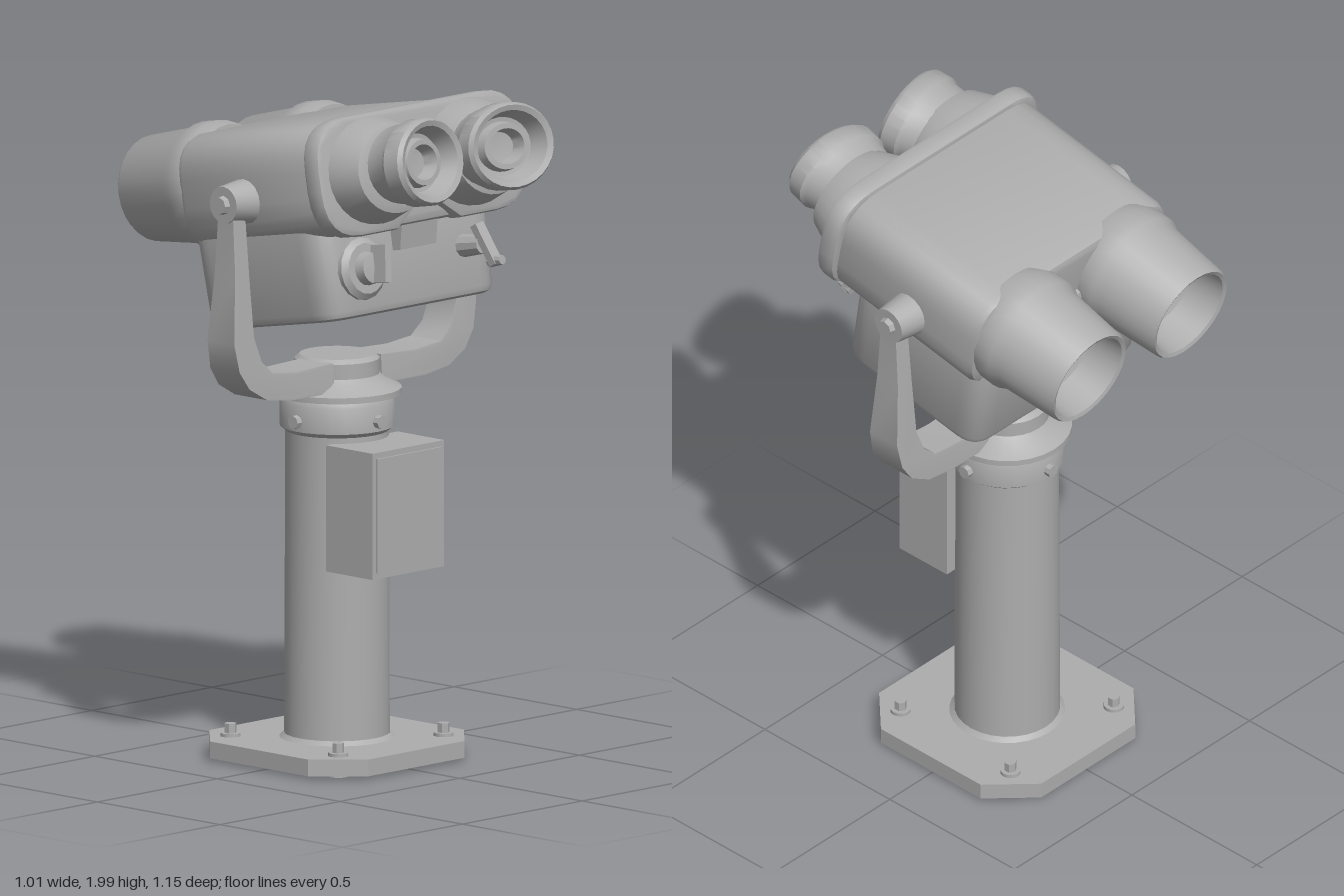
import * as THREE from 'three';
import { toCreasedNormals } from 'three/addons/utils/BufferGeometryUtils.js';

const greyMetal = new THREE.MeshStandardMaterial({ color: 0xadadad });
greyMetal.name = 'greyMetal';

// Adds a named mesh with sharp edges kept and curved faces smoothed
function add(parent, name, geometry, x = 0, y = 0, z = 0) {
  const mesh = new THREE.Mesh(toCreasedNormals(geometry, 0.6), greyMetal);
  mesh.name = name;
  mesh.position.set(x, y, z);
  parent.add(mesh);
  return mesh;
}

const vectors = (points) => points.map(([x, y]) => new THREE.Vector2(x, y));
const lathe = (points, sides = 28) => new THREE.LatheGeometry(vectors(points), sides);
const cylinder = (top, bottom, height, sides = 28) => new THREE.CylinderGeometry(top, bottom, height, sides);

function extrude(shape, depth, bevel = 0) {
  return new THREE.ExtrudeGeometry(shape, {
    depth: depth - 2 * bevel, bevelEnabled: bevel > 0, bevelThickness: bevel,
    bevelSize: bevel, bevelOffset: -bevel, bevelSegments: 2, curveSegments: 6,
  }).translate(0, 0, bevel);
}

// Rectangle with its own corner radius at the bottom and at the top
function roundedShape(halfWidth, y0, y1, rBottom, rTop, notch = 0) {
  const s = new THREE.Shape();
  s.moveTo(-halfWidth + rBottom, y0);
  if (notch) {
    s.lineTo(-0.13, y0);
    s.lineTo(0, y0 + notch);
    s.lineTo(0.13, y0);
  }
  s.lineTo(halfWidth - rBottom, y0);
  s.quadraticCurveTo(halfWidth, y0, halfWidth, y0 + rBottom);
  s.lineTo(halfWidth, y1 - rTop);
  s.quadraticCurveTo(halfWidth, y1, halfWidth - rTop, y1);
  s.lineTo(-halfWidth + rTop, y1);
  s.quadraticCurveTo(-halfWidth, y1, -halfWidth, y1 - rTop);
  s.lineTo(-halfWidth, y0 + rBottom);
  s.quadraticCurveTo(-halfWidth, y0, -halfWidth + rBottom, y0);
  return s;
}

function buildStand(model) {
  const stand = new THREE.Group();
  stand.name = 'stand';
  model.add(stand);

  // Square foot plate with cut corners and four bolts
  const w = 0.325, c = 0.2;
  const plate = new THREE.Shape(vectors([[-c, -w], [c, -w], [w, -c], [w, c], [c, w], [-c, w], [-w, c], [-w, -c]]));
  add(stand, 'basePlate', extrude(plate, 0.05).rotateX(-Math.PI / 2), 0, 0.01, 0);
  for (const x of [-0.22, 0.22]) for (const z of [-0.22, 0.22]) {
    add(stand, 'boltWasher', cylinder(0.03, 0.033, 0.07, 12), x, 0.035, z);
    add(stand, 'boltHead', cylinder(0.018, 0.018, 0.03, 6), x, 0.083, z);
  }

  // Pole, clamp collar and flared flange
  add(stand, 'pole', cylinder(0.152, 0.155, 0.94), 0, 0.52, 0);
  add(stand, 'poleFoot', cylinder(0.156, 0.172, 0.015), 0, 0.065, 0);
  add(stand, 'collar', lathe([[0, 0.97], [0.15, 0.97], [0.168, 0.985], [0.168, 1.06], [0.16, 1.075],
    [0.19, 1.08], [0.19, 1.098], [0.14, 1.125], [0.125, 1.14], [0.125, 1.185], [0.11, 1.197], [0, 1.197]]));
  for (let i = 0; i < 4; i++) {
    const a = i * Math.PI / 2;
    const bolt = add(stand, 'collarBolt', cylinder(0.02, 0.02, 0.03, 8).rotateX(Math.PI / 2),
      Math.sin(a) * 0.17, 1.015, Math.cos(a) * 0.17);
    bolt.rotation.y = a;
  }

  // Coin box with a framed door
  add(stand, 'coinBox', new THREE.BoxGeometry(0.3, 0.375, 0.19), 0.004, 0.768, 0.192);
  add(stand, 'coinBoxDoor', new THREE.BoxGeometry(0.27, 0.34, 0.008), 0.004, 0.768, 0.29);
}

function buildYoke(model) {
  const yoke = new THREE.Group();
  yoke.name = 'yoke';
  model.add(yoke);
  const outer = [[0.485, 1.68], [0.488, 1.5], [0.505, 1.3], [0.488, 1.215], [0.45, 1.16], [0.38, 1.12], [0.28, 1.105], [0.1, 1.105]];
  const inner = [[0.1, 1.19], [0.25, 1.185], [0.35, 1.195], [0.395, 1.235], [0.422, 1.31], [0.43, 1.5], [0.435, 1.68]];
  const half = [...outer, ...inner];
  for (const side of [-1, 1]) {
    // Curved arm, growing deeper towards the hub
    const geometry = extrude(new THREE.Shape(vectors(half.map(([x, y]) => [x * side, y]))), 2, 0.008);
    const p = geometry.attributes.position;
    for (let i = 0; i < p.count; i++) {
      const depth = THREE.MathUtils.mapLinear(p.getY(i), 1.1, 1.68, 0.068, 0.03);
      p.setZ(i, (p.getZ(i) - 1) * depth + 0.02);
    }
    add(yoke, 'yokeArm', geometry);
    // Pivot boss and its cap screw
    add(yoke, 'pivotBoss', cylinder(0.055, 0.068, 0.1, 16).rotateZ(-side * Math.PI / 2), 0.44 * side, 1.705, 0.015);
    add(yoke, 'pivotScrew', cylinder(0.025, 0.03, 0.025, 8).rotateZ(-side * Math.PI / 2), 0.495 * side, 1.705, 0.015);
  }
}

function buildHead(model) {
  const head = new THREE.Group();
  head.name = 'viewerHead';
  head.position.y = 1.7;
  head.rotation.x = -0.182;
  model.add(head);

  // Housing: wide upper shell, narrower lower case, front rim
  add(head, 'upperShell', extrude(roundedShape(0.405, -0.13, 0.202, 0.12, 0.13), 0.59, 0.025), 0, 0, -0.25);
  const caseGeometry = extrude(roundedShape(0.355, -0.3, 0.24, 0.08, 0.09), 0.42, 0.025);
  add(head, 'lowerCase', caseGeometry.rotateX(Math.PI / 2), 0, 0.045, 0).scale.z = -1;
  head.children.pop();
  // The case is extruded downwards, so its shape's y runs front to back
  const p = caseGeometry.attributes.position;
  for (let i = 0; i < p.count; i++) if (p.getY(i) > -0.2) p.setX(i, p.getX(i) * 1.05);
  add(head, 'lowerCase', caseGeometry, 0, 0.045, 0.03);
  add(head, 'frontRim', extrude(roundedShape(0.43, -0.135, 0.217, 0.15, 0.14, 0.09), 0.065, 0.015), 0, 0, 0.3);

  // Sloped nose wedge under the rim's notch
  const wedge = new THREE.Shape(vectors([[-0.3, -0.2], [-0.345, -0.03], [-0.2, -0.03], [-0.2, -0.2]]));
  add(head, 'noseWedge', extrude(wedge, 0.15).rotateY(Math.PI / 2), -0.075, 0, 0);

  for (const side of [-1, 1]) {
    // Objective barrel at the back: collar, tapering tube, sunken lens
    const barrel = lathe([[0, 0.2], [0.172, 0.2], [0.186, 0.245], [0.186, 0.3], [0.172, 0.33], [0.156, 0.525],
      [0.15, 0.535], [0.138, 0.53], [0.125, 0.42], [0.06, 0.38], [0, 0.37]]);
    add(head, 'objectiveBarrel', barrel.rotateX(-Math.PI / 2), 0.215 * side, 0.042, 0);

    // Eyepiece socket and flared cup at the front
    const socket = lathe([[0, 0.32], [0.19, 0.32], [0.188, 0.375], [0.155, 0.455], [0.13, 0.462], [0, 0.462]]);
    add(head, 'eyepieceSocket', socket.rotateX(Math.PI / 2).scale(1, 0.84, 1), 0.203 * side, 0.05, 0);
    const cup = lathe([[0, -0.02], [0.138, -0.02], [0.146, 0.04], [0.157, 0.055], [0.157, 0.105], [0.147, 0.118],
      [0.128, 0.112], [0.105, 0.06], [0.09, 0.058], [0.082, 0.085], [0.064, 0.085], [0.052, 0.045], [0, 0.04]]);
    add(head, 'eyepieceCup', cup.rotateX(Math.PI / 2).scale(1, 0.82, 1), 0.185 * side, 0.06, 0.46)
      .rotation.y = -0.14 * side;
  }

  // Coin dial with a turning key
  const dial = lathe([[0, 0], [0.092, 0], [0.092, 0.015], [0.075, 0.03], [0.05, 0.03], [0.045, 0.06], [0, 0.065]], 16);
  add(head, 'coinDial', dial.rotateX(Math.PI / 2), -0.215, -0.235, 0.265);
  add(head, 'dialKey', new THREE.BoxGeometry(0.024, 0.11, 0.06), -0.205, -0.225, 0.345).rotation.z = -0.15;

  // Focus lever
  add(head, 'leverHub', cylinder(0.028, 0.036, 0.1, 10).rotateX(Math.PI / 2), 0.215, -0.225, 0.3);
  const lever = add(head, 'focusLever', new THREE.BoxGeometry(0.035, 0.13, 0.025), 0.215, -0.225, 0.365);
  lever.rotation.set(-0.35, 0, 0.12);
  add(head, 'leverTip', cylinder(0.014, 0.02, 0.05, 8).rotateX(Math.PI / 2), 0.222, -0.275, 0.39);
}

export function createModel() {
  const model = new THREE.Group();
  model.name = 'coinViewer';
  buildStand(model);
  buildYoke(model);
  buildHead(model);
  return model;
}
